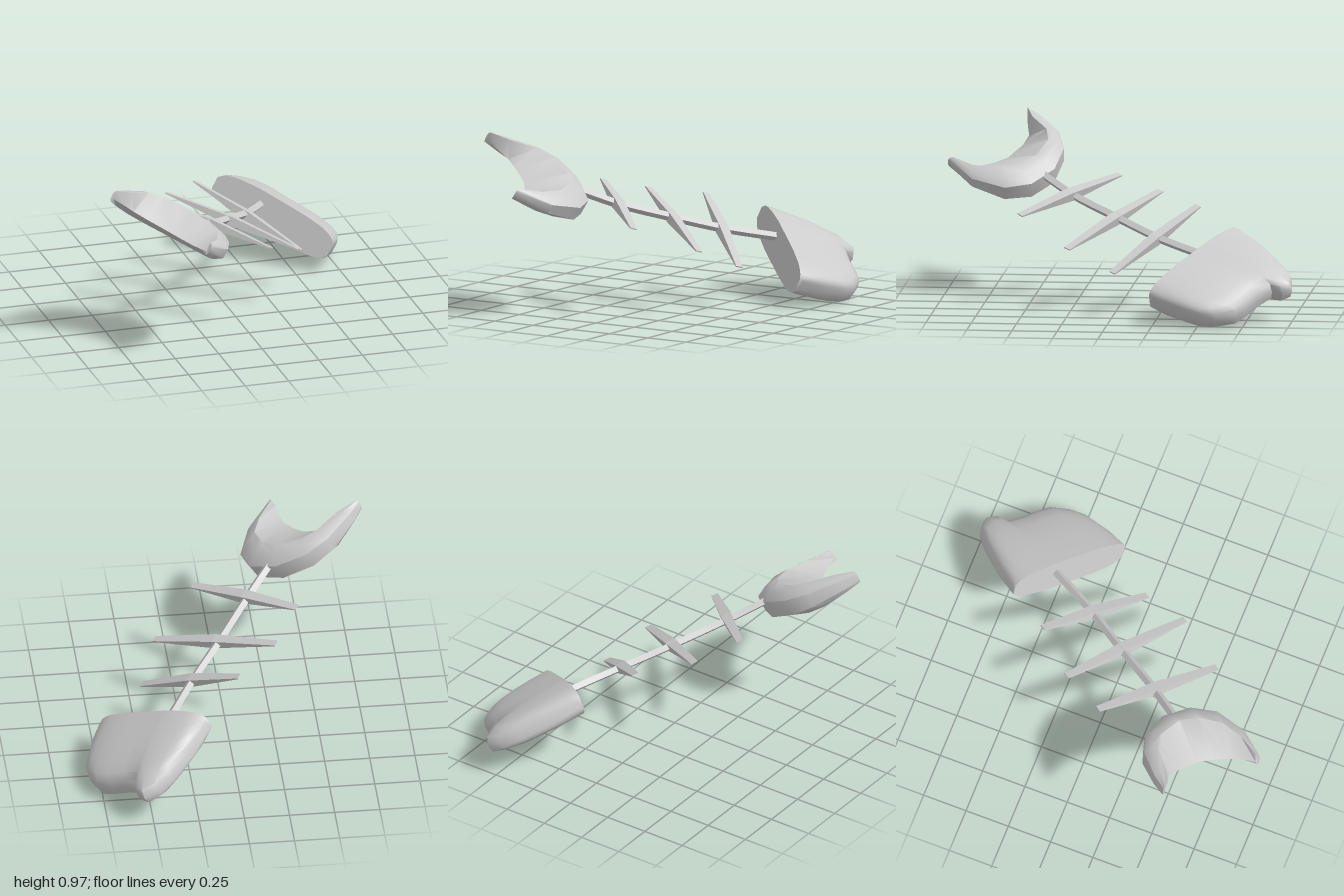
import * as THREE from 'three';
import { toCreasedNormals } from 'three/addons/utils/BufferGeometryUtils.js';

const material = new THREE.MeshStandardMaterial({ color: 0xcccccc });
const V = (x, y, z) => new THREE.Vector3(x, y, z);

// Local frame of a part: x across the fish, y toward the head, z out of its flat side
function frame(origin, across, forward) {
  const w = across.clone().normalize();
  const n = w.clone().cross(forward).normalize();
  const f = n.clone().cross(w);
  return new THREE.Matrix4().makeBasis(w, f, n).setPosition(origin);
}

// Closed skin over equal-length rings, with a fan cap at both ends
function skin(rings, crease) {
  const pos = rings.flat(2);
  const m = rings[0].length, last = rings.length - 1, index = [];
  for (let i = 0; i < last; i++) {
    for (let j = 0; j < m; j++) {
      const a = i * m + j, b = i * m + (j + 1) % m;
      index.push(a, b, b + m, a, b + m, a + m);
    }
  }
  for (let j = 1; j < m - 1; j++) {
    index.push(0, j + 1, j);
    index.push(last * m, last * m + j, last * m + j + 1);
  }
  const g = new THREE.BufferGeometry();
  g.setAttribute('position', new THREE.Float32BufferAttribute(pos, 3));
  g.setIndex(index);
  return toCreasedNormals(g, crease);
}

export function createModel() {
  const group = new THREE.Group();
  const add = (name, geometry, matrix) => {
    if (matrix) geometry.applyMatrix4(matrix);
    const mesh = new THREE.Mesh(geometry, material);
    mesh.name = name;
    group.add(mesh);
  };

  // Head: slices across the width, each [across, length, half thickness]
  const slices = [
    [-0.362, 0.03, 0.035], [-0.33, 0.22, 0.065], [-0.285, 0.39, 0.08], [-0.245, 0.49, 0.088],
    [-0.18, 0.545, 0.095], [-0.125, 0.525, 0.1], [-0.105, 0.465, 0.1], [0, 0.455, 0.1],
    [0.1, 0.46, 0.1], [0.19, 0.455, 0.098], [0.28, 0.395, 0.09], [0.325, 0.335, 0.08],
    [0.365, 0.19, 0.062], [0.385, 0.03, 0.04],
  ];
  const half = [[0, 1], [0.3, 1], [0.55, 0.95], [0.75, 0.85], [0.9, 0.7], [0.98, 0.48]];
  // The snout stretches out only near the tip, and the head droops forward
  const headPoint = (w, len, k, n) => {
    const base = Math.min(len, 0.46);
    const f = k * base + k ** 4 * (len - base);
    return [w, f, n - 0.1 * f];
  };
  const headRings = slices.map(([w, len, t]) => [
    ...half.map(([k, n]) => headPoint(w, len, k, -n * t)),
    headPoint(w, len, 1, 0),
    ...half.slice().reverse().map(([k, n]) => headPoint(w, len, k, n * t)),
  ]);
  add('head', skin(headRings, 0.9),
    frame(V(0.415, 0.268, -0.455), V(0.52, -0.29, 0.43), V(0.55, -0.25, -0.8)));

  // Tail: crescent of slices, each outer, upper inner and lower inner point, half thickness
  const crescent = [
    [-0.305, 0, -0.29, 0.01, -0.29, 0.01, 0.035],
    [-0.3, 0.1, -0.235, 0.1, -0.23, 0.07, 0.055],
    [-0.255, 0.285, -0.19, 0.25, -0.185, 0.125, 0.08],
    [-0.17, 0.405, -0.12, 0.33, -0.1, 0.155, 0.092],
    [0, 0.495, 0.03, 0.38, 0.03, 0.17, 0.096],
    [0.18, 0.495, 0.14, 0.36, 0.115, 0.15, 0.092],
    [0.305, 0.41, 0.25, 0.28, 0.205, 0.115, 0.08],
    [0.365, 0.22, 0.3, 0.16, 0.27, 0.06, 0.055],
    [0.33, 0, 0.31, 0.02, 0.31, 0.01, 0.035],
  ];
  const mix = THREE.MathUtils.lerp;
  const tailRings = crescent.map(([ow, of, tw, tf, bw, bf, t]) => [
    [mix(ow, bw, 0.35), mix(of, bf, 0.35), -0.95 * t],
    [ow, of, -0.5 * t],
    [ow, of, 0.5 * t],
    [mix(ow, tw, 0.45), mix(of, tf, 0.45), 0.9 * t],
    [tw, tf, t],
    [bw, bf, -0.45 * t],
  ]);
  add('tail', skin(tailRings, 0.75),
    frame(V(-0.605, 0.82, 0.785), V(0.43, -0.22, 0.39), V(0.55, -0.38, -0.74)));

  // Spine: thin square bar with a gentle bend
  const spine = new THREE.CatmullRomCurve3([
    V(-0.3, 0.655, 0.46), V(-0.155, 0.565, 0.28), V(0.04, 0.465, 0),
    V(0.205, 0.388, -0.23), V(0.38, 0.315, -0.52),
  ]);
  add('spine', toCreasedNormals(new THREE.TubeGeometry(spine, 12, 0.024, 4), 0.6));

  // Ribs: bars thick at the spine, flattening to thin blunt ends
  const ribs = [
    [V(-0.405, 0.645, 0.045), V(0.115, 0.49, 0.545)],
    [V(-0.265, 0.58, -0.195), V(0.36, 0.345, 0.26)],
    [V(-0.035, 0.535, -0.425), V(0.455, 0.23, 0)],
  ];
  for (const [a, b] of ribs) {
    const dir = b.clone().sub(a), h = dir.length() / 2;
    const ring = (w, f, n) => [[w, -f, -n], [w, f, -n], [w, f, n], [w, -f, n]];
    const rings = [ring(-h, 0.02, 0.003), ring(0, 0.03, 0.025), ring(h, 0.02, 0.003)];
    add('rib', skin(rings, 0.02),
      frame(a.clone().add(b).multiplyScalar(0.5), dir, V(0.55, -0.28, -0.79)));
  }
  return group;
}
